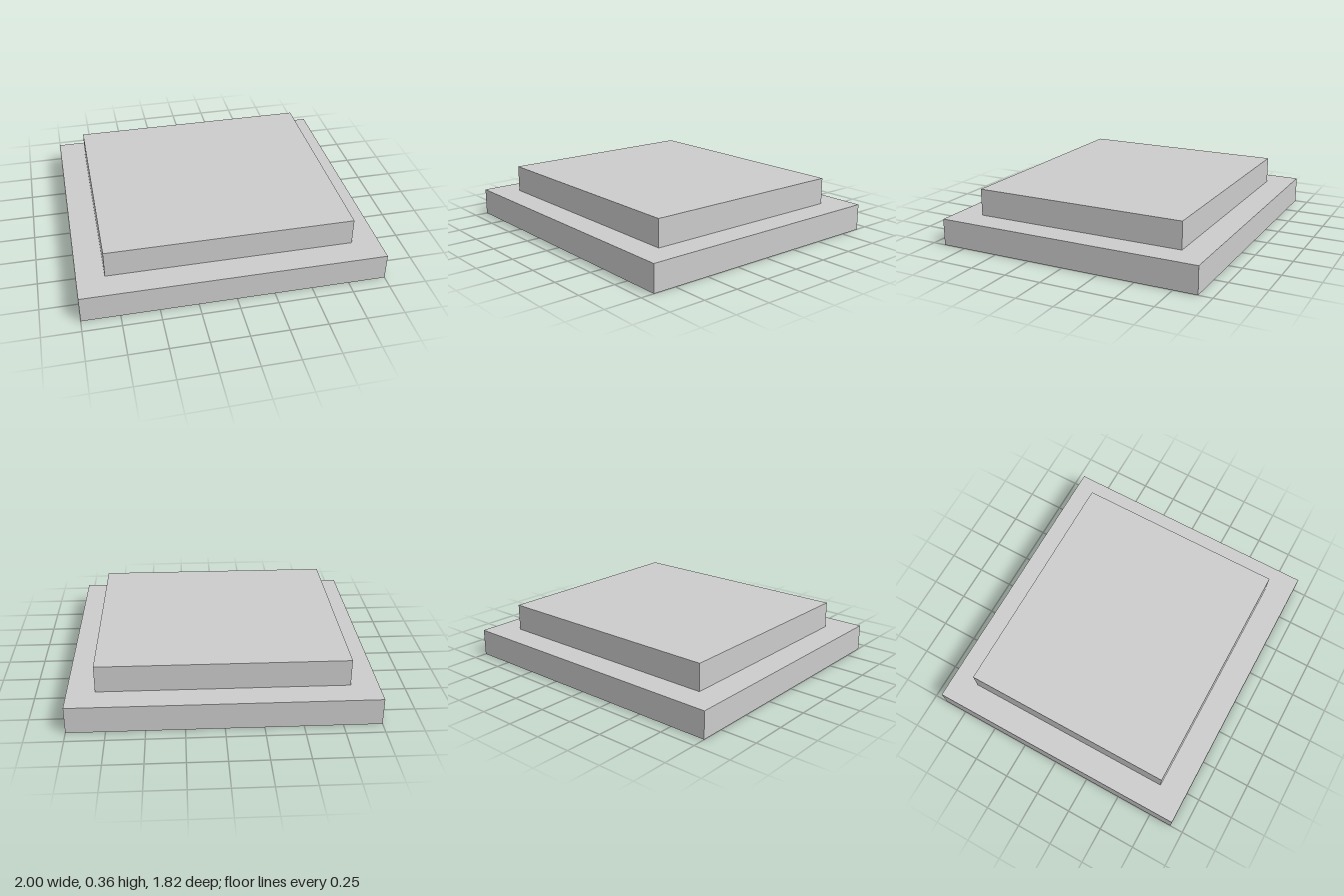
import * as THREE from 'three';

const STEP = 2 / 11; // height of each slab and width of the ledge

export function createModel() {
  const model = new THREE.Group();
  model.name = 'steppedPlinth';
  const material = new THREE.MeshStandardMaterial({ color: 0xcccccc, flatShading: true });

  // Two stacked slabs, the upper one set in by one step on every side
  ['lowerSlab', 'upperSlab'].forEach((name, i) => {
    const inset = 2 * i * STEP;
    const slab = new THREE.Mesh(
      new THREE.BoxGeometry(11 * STEP - inset, STEP, 10 * STEP - inset),
      material
    );
    slab.name = name;
    slab.position.y = (i + 0.5) * STEP;
    model.add(slab);
  });

  return model;
}
